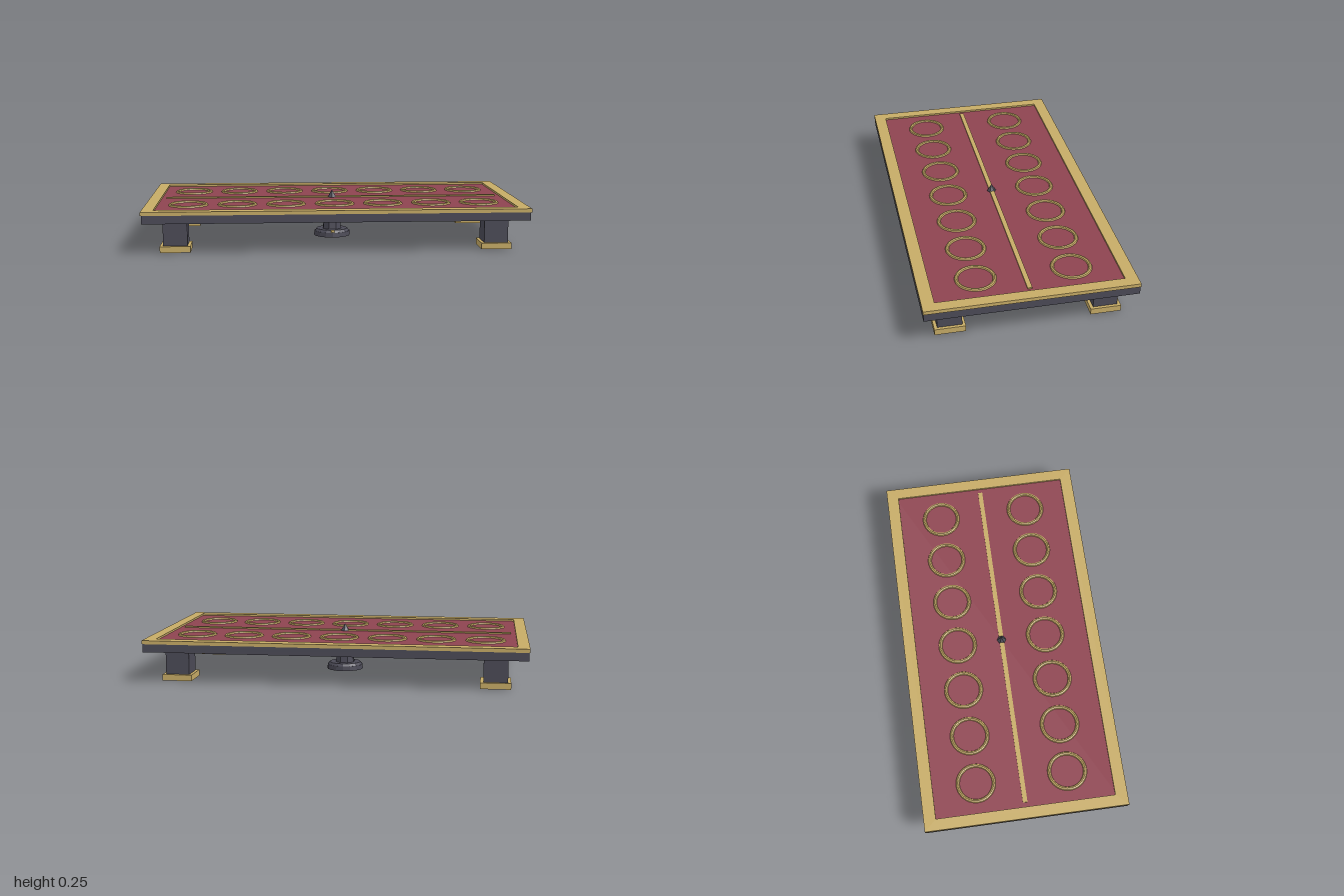
import * as THREE from 'three';

export function createModel() {
  const group = new THREE.Group();
  const mat = (name, color, flat = false) => {
    const m = new THREE.MeshStandardMaterial({ color, flatShading: flat });
    m.name = name;
    return m;
  };
  const gold = mat('gold', 0xc6ab66, true);
  const red = mat('burgundy', 0x8e4350);
  const dark = mat('slate', 0x4b4a56, true);

  const add = (name, geometry, material, x = 0, y = 0, z = 0) => {
    const mesh = new THREE.Mesh(geometry, material);
    mesh.name = name;
    mesh.position.set(x, y, z);
    group.add(mesh);
    return mesh;
  };
  // Box given by its bottom height
  const box = (name, w, h, d, material, x, y, z) =>
    add(name, new THREE.BoxGeometry(w, h, d), material, x, y + h / 2, z);
  // Faceted drum between two heights
  const drum = (name, rTop, rBottom, y0, y1, sides, material) => {
    const g = new THREE.CylinderGeometry(rTop, rBottom, y1 - y0, sides);
    if (sides === 8) g.rotateY(Math.PI / 8);
    return add(name, g, material, 0, (y0 + y1) / 2, 0);
  };

  // Table slab and inlaid top
  box('slab', 1.99, 0.043, 1.07, dark, 0, 0.16, 0);
  box('topPanel', 1.9, 0.009, 0.98, red, 0, 0.203, 0);

  // Raised border
  const border = new THREE.Shape();
  border.moveTo(-1, -0.537).lineTo(1, -0.537).lineTo(1, 0.537).lineTo(-1, 0.537).closePath();
  const opening = new THREE.Path();
  opening.moveTo(-0.94, -0.473).lineTo(-0.94, 0.473).lineTo(0.94, 0.473).lineTo(0.94, -0.473).closePath();
  border.holes.push(opening);
  const borderGeo = new THREE.ExtrudeGeometry(border, { depth: 0.019, bevelEnabled: false });
  borderGeo.rotateX(-Math.PI / 2);
  add('border', borderGeo, gold, 0, 0.203, 0);

  // Divider and two rows of seven rings
  box('divider', 1.83, 0.008, 0.024, gold, 0, 0.211, 0);
  const ringGeo = new THREE.TorusGeometry(0.095, 0.01, 8, 40);
  ringGeo.rotateX(Math.PI / 2);
  for (const z of [-0.243, 0.243]) {
    for (let i = -3; i <= 3; i++) add('ring', ringGeo, gold, i * 0.2595, 0.212, z);
  }

  // Four legs on square feet
  for (const x of [-0.833, 0.833]) {
    for (const z of [-0.395, 0.395]) {
      box('leg', 0.125, 0.13, 0.125, dark, x, 0.031, z);
      box('foot', 0.157, 0.032, 0.157, gold, x, 0, z);
    }
  }

  // Central pedestal
  drum('pedestalBase', 0.098, 0.1, 0, 0.025, 16, dark);
  drum('pedestalStep', 0.086, 0.096, 0.025, 0.038, 16, dark);
  drum('pedestalColumn', 0.043, 0.054, 0.036, 0.132, 8, dark);
  drum('pedestalCap', 0.078, 0.064, 0.13, 0.152, 8, gold);
  drum('pedestalNeck', 0.02, 0.02, 0.15, 0.222, 6, dark);
  drum('finial', 0.001, 0.025, 0.214, 0.252, 6, dark);

  // Small front stud on the base
  box('baseStud', 0.018, 0.014, 0.012, gold, 0, 0.025, 0.088);

  // Three wedge inlays under the base
  for (let i = 0; i < 3; i++) {
    const a = (i * 2 * Math.PI) / 3 + Math.PI / 2;
    const wedge = new THREE.Shape();
    wedge.absarc(0, 0, 0.056, a - 0.42, a + 0.42, false);
    wedge.absarc(0, 0, 0.014, a + 0.42, a - 0.42, true);
    const g = new THREE.ExtrudeGeometry(wedge, { depth: 0.003, bevelEnabled: false, curveSegments: 6 });
    g.rotateX(Math.PI / 2);
    add('baseInlay', g, gold, 0, 0.002, 0);
  }

  return group;
}
